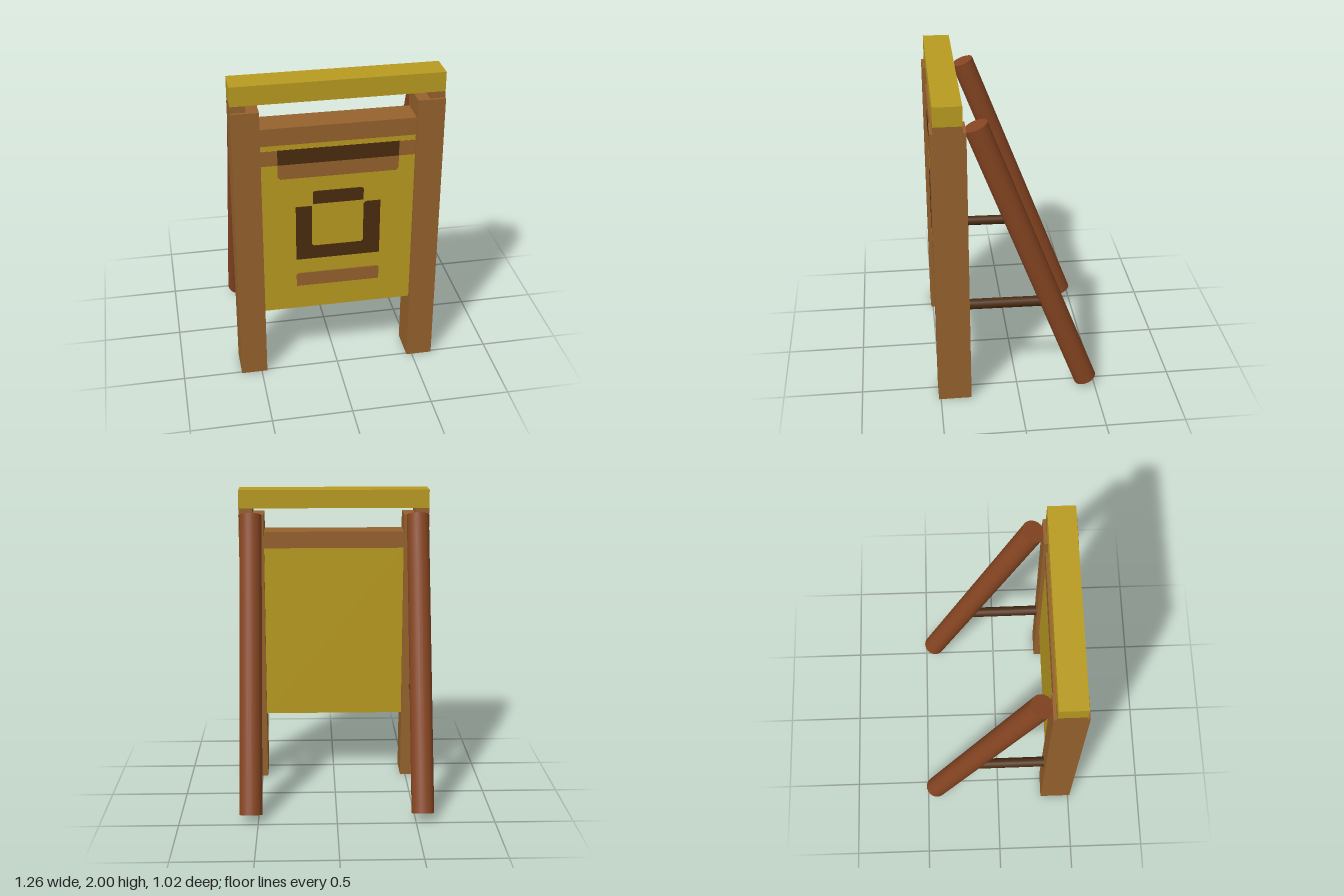
import * as THREE from 'three';

export function createModel() {
  const model = new THREE.Group();
  model.name = 'standingSign';

  const mat = (name, color) => {
    const m = new THREE.MeshStandardMaterial({ color });
    m.name = name;
    return m;
  };
  const yellow = mat('yellow paint', 0xb99b20);
  const wood = mat('post wood', 0x96622d);
  const redWood = mat('leg wood', 0x864522);
  const dark = mat('dark brown', 0x4b2b0f);

  const add = (name, geometry, material) => {
    const mesh = new THREE.Mesh(geometry, material);
    mesh.name = name;
    model.add(mesh);
    return mesh;
  };

  // Box given by its lower and upper corners
  const box = (name, material, x0, x1, y0, y1, z0, z1) =>
    add(name, new THREE.BoxGeometry(x1 - x0, y1 - y0, z1 - z0), material)
      .position.set((x0 + x1) / 2, (y0 + y1) / 2, (z0 + z1) / 2);

  // Round pole between two points
  const pole = (name, material, a, b, radius, sides) => {
    const dir = b.clone().sub(a);
    const mesh = add(name, new THREE.CylinderGeometry(radius, radius, dir.length(), sides), material);
    mesh.position.copy(a).add(b).multiplyScalar(0.5);
    mesh.quaternion.setFromUnitVectors(new THREE.Vector3(0, 1, 0), dir.normalize());
  };

  // Thin painted plate on the front of the board
  const FACE = 0.49;
  const plate = (name, material, points) => {
    const shape = new THREE.Shape(points.map(([x, y]) => new THREE.Vector2(x, y)));
    const g = new THREE.ExtrudeGeometry(shape, { depth: 0.007, bevelEnabled: false });
    add(name, g, material).position.z = FACE;
  };

  // Top beam, cross rail and sign board
  box('topBeam', yellow, -0.63, 0.63, 1.88, 2, 0.325, 0.495);
  box('crossRail', wood, -0.465, 0.465, 1.615, 1.725, 0.32, 0.497);
  box('signBoard', yellow, -0.465, 0.465, 0.455, 1.615, 0.33, 0.488);
  box('signFace', yellow, -0.465, 0.465, 0.625, 1.58, 0.487, FACE);

  // Posts, beam blocks, rear legs and struts on both sides
  for (const s of [-1, 1]) {
    const side = s > 0 ? 'left' : 'right';
    const span = (a, b) => (s > 0 ? [a, b] : [-b, -a]);
    box(side + 'Post', wood, ...span(0.465, 0.63), 0, 1.84, 0.305, 0.513);
    box(side + 'BeamBlock', wood, ...span(0.54, 0.63), 1.84, 1.88, 0.325, 0.495);
    pole(side + 'RearLeg', redWood, new THREE.Vector3(s * 0.547, 0.041, -0.441),
      new THREE.Vector3(s * 0.547, 1.847, 0.247), 0.0725, 24);
    pole(side + 'Strut', dark, new THREE.Vector3(s * 0.547, 0.646, -0.2),
      new THREE.Vector3(s * 0.547, 0.652, 0.32), 0.033, 16);
    // Painted band ends beside the dark heading
    box(side + 'BandEnd', wood, ...span(0.365, 0.465), 1.485, 1.58, FACE, 0.497);
  }

  // Painted heading, footing and emblem
  plate('headingDark', dark, [[-0.365, 1.485], [0.365, 1.485], [0.365, 1.58], [-0.365, 1.58]]);
  plate('headingBrown', wood, [[-0.365, 1.405], [-0.35, 1.39], [0.35, 1.39], [0.365, 1.405],
    [0.365, 1.485], [-0.365, 1.485]]);
  plate('footing', wood, [[-0.26, 0.625], [0.26, 0.625], [0.26, 0.705], [0.25, 0.717],
    [-0.25, 0.717], [-0.26, 0.705]]);
  plate('emblemCup', dark, [[-0.26, 0.82], [0.26, 0.82], [0.26, 1.19], [0.17, 1.19], [0.157, 1.175],
    [0.157, 0.92], [0.145, 0.908], [-0.15, 0.908], [-0.163, 0.92], [-0.163, 1.19], [-0.26, 1.19]]);
  plate('emblemBar', dark, [[-0.155, 1.205], [0.155, 1.205], [0.155, 1.28], [0.145, 1.29],
    [-0.145, 1.29], [-0.155, 1.28]]);

  return model;
}
